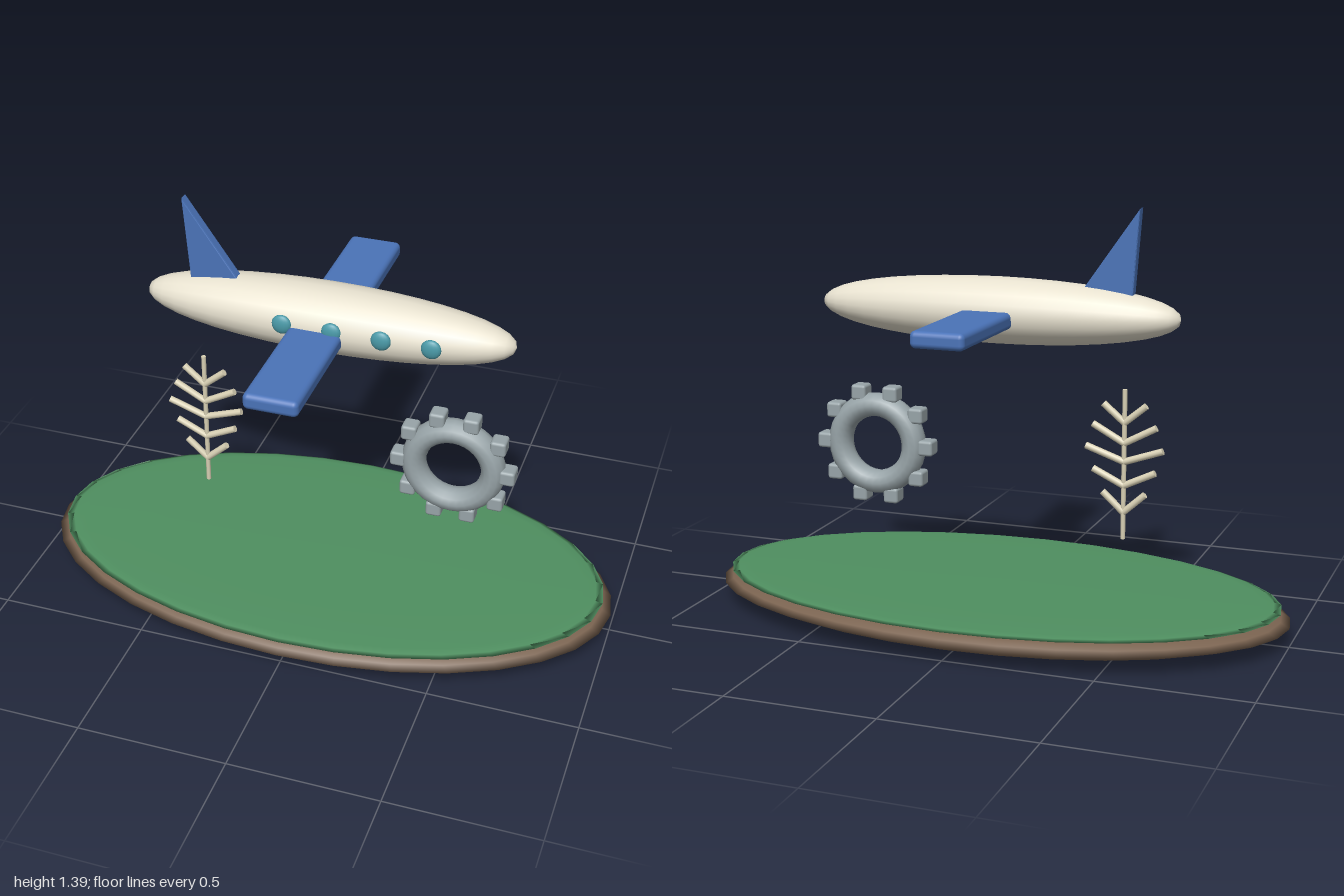
import * as THREE from 'three';
import { RoundedBoxGeometry } from 'three/addons/geometries/RoundedBoxGeometry.js';

const material = (color) => new THREE.MeshStandardMaterial({ color });
const soil = material(0x7a6350);
const grass = material(0x4f8f60);
const cream = material(0xe8e2d0);
const blue = material(0x4a73b8);
const teal = material(0x4a9aa8);
const steel = material(0x98a4a8);
const bone = material(0xd8d0b4);

function add(parent, name, geometry, mat, x = 0, y = 0, z = 0) {
  const mesh = new THREE.Mesh(geometry, mat);
  mesh.name = name;
  mesh.position.set(x, y, z);
  parent.add(mesh);
  return mesh;
}

const lathe = (points, sides) =>
  new THREE.LatheGeometry(points.map(([r, y]) => new THREE.Vector2(r, y)), sides);

function group(parent, name, x, y, z) {
  const g = new THREE.Group();
  g.name = name;
  g.position.set(x, y, z);
  parent.add(g);
  return g;
}

// Oval island: a soil disc with a thin grass cap
function buildIsland(root) {
  const island = group(root, 'island', 0, 0, 0);
  island.scale.z = 0.545;
  add(island, 'soilDisc', lathe([
    [0, 0], [0.5, 0.007], [0.78, 0.02], [0.92, 0.038], [1, 0.062],
    [0.97, 0.08], [0.92, 0.094], [0.85, 0.1], [0, 0.1],
  ], 32), soil);
  add(island, 'grassCap', lathe([
    [0, 0.097], [0.85, 0.098], [0.93, 0.101], [0.97, 0.105],
    [0.945, 0.111], [0.9, 0.115], [0.6, 0.119], [0, 0.12],
  ], 32), grass);
}

function buildPlane(root) {
  const plane = group(root, 'plane', 0, 1.04, 0);

  // Fuselage: slightly blunt spindle lying along x
  const profile = [];
  for (let i = 0; i <= 20; i++) {
    const t = -Math.cos((i / 20) * Math.PI);
    profile.push([Math.pow(Math.max(0, 1 - t * t), 0.45), t * 0.62]);
  }
  const body = lathe(profile, 20);
  body.rotateZ(-Math.PI / 2);
  body.scale(1, 0.11, 0.13);
  add(plane, 'fuselage', body, cream);

  // One continuous wing running through the body
  add(plane, 'wing', new RoundedBoxGeometry(0.178, 0.055, 1.085, 3, 0.018), blue, -0.005, -0.014, 0);

  // Swept triangular tail fin
  const fin = new THREE.Shape();
  fin.moveTo(-0.485, 0.35);
  fin.lineTo(-0.463, 0.05);
  fin.lineTo(-0.285, 0.065);
  fin.closePath();
  const finGeometry = new THREE.ExtrudeGeometry(fin, {
    depth: 0.024, bevelThickness: 0.007, bevelSize: 0.005, bevelOffset: -0.004, bevelSegments: 2,
  });
  finGeometry.translate(0, 0, -0.012);
  add(plane, 'tailFin', finGeometry, blue);

  // Row of windows on the front side only
  for (const x of [-0.115, 0.05, 0.213, 0.376]) {
    const windowPane = add(plane, 'window', new THREE.SphereGeometry(0.033, 16, 12), teal, x, 0.018, 0.123);
    windowPane.scale.z = 0.47;
  }
}

// Ring with ten upright blocks around the rim
function buildGear(root) {
  const gear = group(root, 'gear', 0.435, 0.555, 0);
  const ring = add(gear, 'ring', new THREE.TorusGeometry(0.135, 0.041, 12, 32), steel);
  ring.scale.z = 1.12;
  const block = new RoundedBoxGeometry(0.053, 0.053, 0.062, 2, 0.01);
  for (let i = 0; i < 10; i++) {
    const a = (i / 10) * Math.PI * 2;
    add(gear, 'tooth', block, steel, 0.185 * Math.cos(a), 0.185 * Math.sin(a), 0);
  }
}

// Bare stem with mirrored, upward-slanting branches
function buildTree(root) {
  const tree = group(root, 'branchedStem', -0.44, 0, 0);
  add(tree, 'stem', new THREE.CylinderGeometry(0.008, 0.008, 0.5, 10), bone, 0, 0.555, 0);
  const branches = [ // start height, reach, tip height
    [0.695, 0.072, 0.755], [0.627, 0.107, 0.685], [0.565, 0.13, 0.61],
    [0.485, 0.105, 0.535], [0.395, 0.072, 0.46],
  ];
  for (const [y0, reach, y1] of branches) {
    const length = Math.hypot(reach, y1 - y0);
    const geometry = new THREE.CylinderGeometry(0.0115, 0.0115, length, 10);
    for (const side of [-1, 1]) {
      const branch = add(tree, 'branch', geometry, bone, side * reach / 2, (y0 + y1) / 2, 0);
      branch.rotation.z = -side * Math.atan2(reach, y1 - y0);
    }
  }
}

export function createModel() {
  const root = new THREE.Group();
  root.name = 'planeOverIsland';
  buildIsland(root);
  buildPlane(root);
  buildGear(root);
  buildTree(root);
  return root;
}
